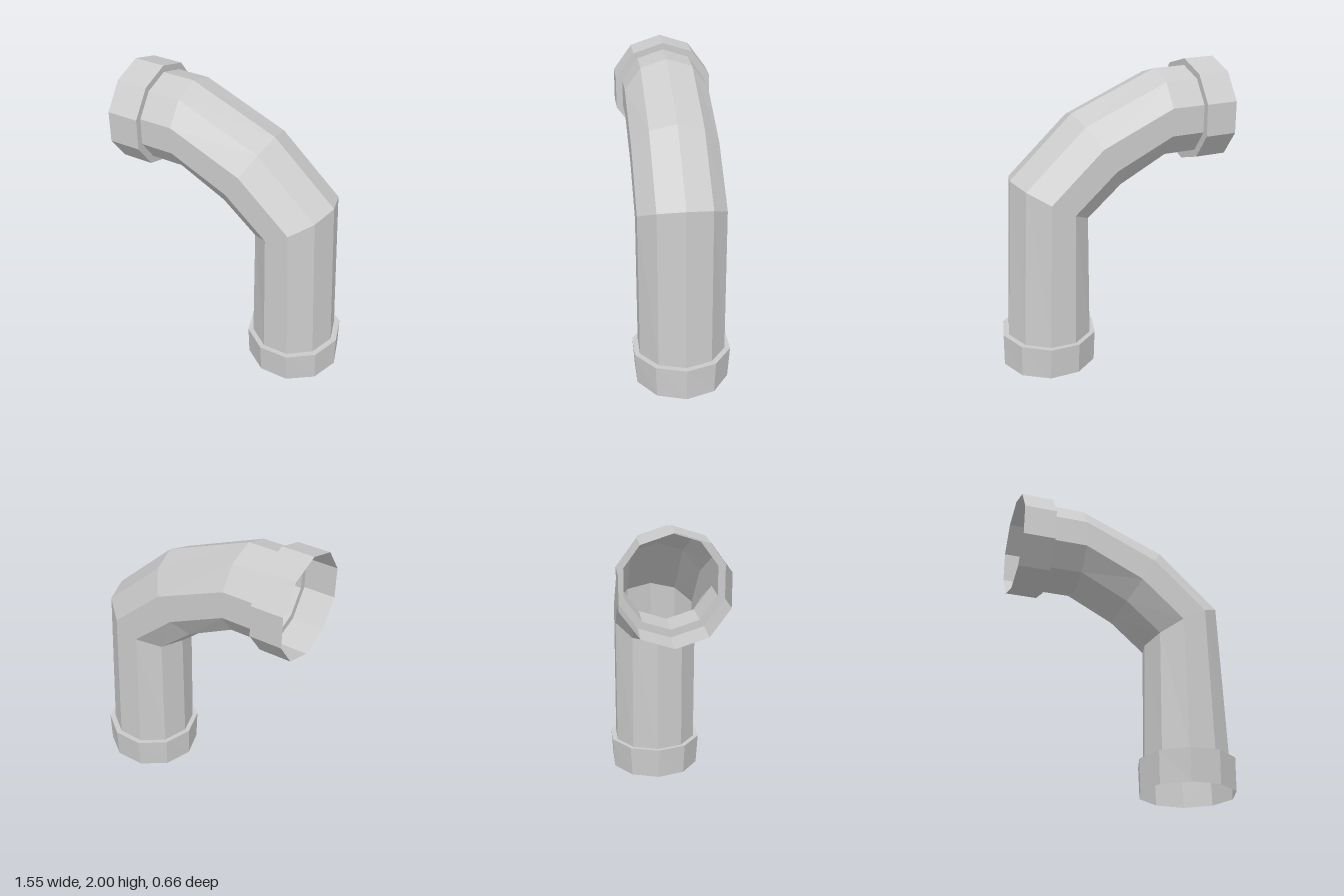
import * as THREE from 'three';

const SIDES = 10;
const material = new THREE.MeshStandardMaterial({
  color: 0xcccccc, flatShading: true, side: THREE.DoubleSide,
});

// A ring spans from its inner bend point to its outer bend point, with half-depth rz along z
function ring([xi, yi, xo, yo, rz]) {
  const c = new THREE.Vector3((xi + xo) / 2, (yi + yo) / 2, 0);
  const u = new THREE.Vector3((xo - xi) / 2, (yo - yi) / 2, 0);
  return Array.from({ length: SIDES }, (_, i) => {
    const a = (i / SIDES) * Math.PI * 2;
    const p = c.clone().addScaledVector(u, Math.cos(a));
    p.z = rz * Math.sin(a);
    return p;
  });
}

// Open-ended faceted skin through a list of rings
function loft(name, sections) {
  const rings = sections.map(ring);
  const points = [];
  for (let j = 0; j < rings.length - 1; j++) {
    for (let i = 0; i < SIDES; i++) {
      const k = (i + 1) % SIDES;
      const a = rings[j][i], b = rings[j][k], c = rings[j + 1][k], d = rings[j + 1][i];
      points.push(a, b, d, b, c, d);
    }
  }
  const geometry = new THREE.BufferGeometry().setFromPoints(points);
  geometry.computeVertexNormals();
  const mesh = new THREE.Mesh(geometry, material);
  mesh.name = name;
  return mesh;
}

export function createModel() {
  const group = new THREE.Group();
  group.name = 'pipeElbow';

  // Sections: inner x, inner y, outer x, outer y, half-depth
  const pipeStart = [-0.56, 1.36, -0.56, 1.955, 0.298];
  const pipeEnd = [0.16, 0.212, 0.735, 0.22, 0.298];

  // Bent pipe
  group.add(loft('pipe', [
    pipeStart,
    [-0.335, 1.36, -0.335, 1.955, 0.298],
    [-0.045, 1.205, 0.255, 1.715, 0.298],
    [0.17, 1.025, 0.685, 1.32, 0.298],
    pipeEnd,
  ]));

  // Collar on the horizontal end, stepping in to the pipe
  group.add(loft('upperCollar', [
    [-0.775, 1.31, -0.775, 2, 0.345],
    [-0.56, 1.31, -0.56, 2, 0.345],
    pipeStart,
  ]));

  // Collar at the foot, slightly narrower at the bottom
  group.add(loft('lowerCollar', [
    pipeEnd,
    [0.125, 0.215, 0.775, 0.222, 0.336],
    [0.13, 0, 0.775, 0, 0.321],
  ]));

  return group;
}
